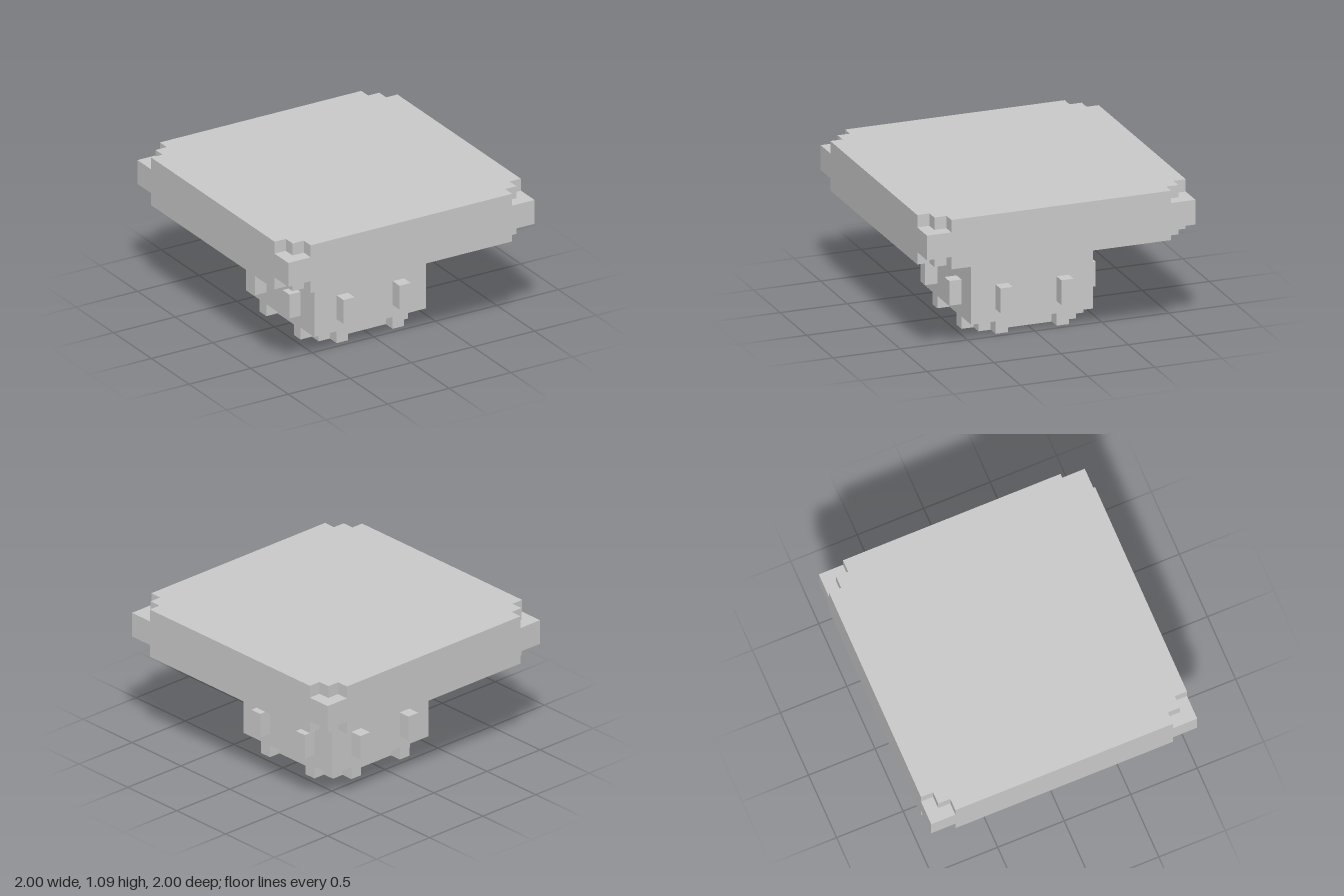
import * as THREE from 'three';

const U = 1 / 11; // one block
const material = new THREE.MeshStandardMaterial({ color: 0xcccccc, flatShading: true });

// Square outline whose four sides repeat the same points, given in blocks
function fourSided(side) {
  const points = [];
  for (let k = 0; k < 4; k++) {
    const c = [1, 0, -1, 0][k], s = [0, 1, 0, -1][k];
    for (const [x, y] of side) points.push(new THREE.Vector2((x * c - y * s) * U, (x * s + y * c) * U));
  }
  return new THREE.Shape(points);
}

// Horizontal layer from height y0 to y1, in blocks
function layer(name, side, y0, y1) {
  const geometry = new THREE.ExtrudeGeometry(fourSided(side), { depth: (y1 - y0) * U, bevelEnabled: false });
  geometry.rotateX(-Math.PI / 2);
  const mesh = new THREE.Mesh(geometry, material);
  mesh.name = name;
  mesh.position.y = y0 * U;
  return mesh;
}

// Side running along the lower edge: plain, or with stepped corners
const plain = (h) => [[-h, -h]];
const stepped = (h) => [[-h + 1, -h + 1], [-h + 2, -h + 1], [-h + 2, -h], [h - 2, -h], [h - 2, -h + 1]];
// Stepped corners plus a recess in the middle, leaving two feet
const footed = (h) => [
  [-h + 1, -h + 1], [-h + 2, -h + 1], [-h + 2, -h], [-2, -h], [-2, -h + 1],
  [2, -h + 1], [2, -h], [h - 2, -h], [h - 2, -h + 1],
];

export function createModel() {
  const model = new THREE.Group();
  model.name = 'blockTable';

  // Pedestal
  model.add(layer('pedestalFeet', footed(5), 0, 1));
  model.add(layer('pedestalBody', plain(5), 1, 8));

  // Slab with stepped corners above and below
  model.add(layer('slabUnderside', stepped(11), 8, 9));
  model.add(layer('slabCore', plain(11), 9, 11));
  model.add(layer('slabTop', stepped(11), 11, 12));

  // Two pegs on each side of the pedestal
  const pegGeometry = new THREE.BoxGeometry(U, 2 * U, U);
  for (let k = 0; k < 4; k++) {
    const side = new THREE.Group();
    side.name = 'pegPair';
    side.rotation.y = k * Math.PI / 2;
    for (const x of [-2.5, 2.5]) {
      const peg = new THREE.Mesh(pegGeometry, material);
      peg.name = 'peg';
      peg.position.set(x * U, 3 * U, 5.5 * U);
      side.add(peg);
    }
    model.add(side);
  }
  return model;
}
